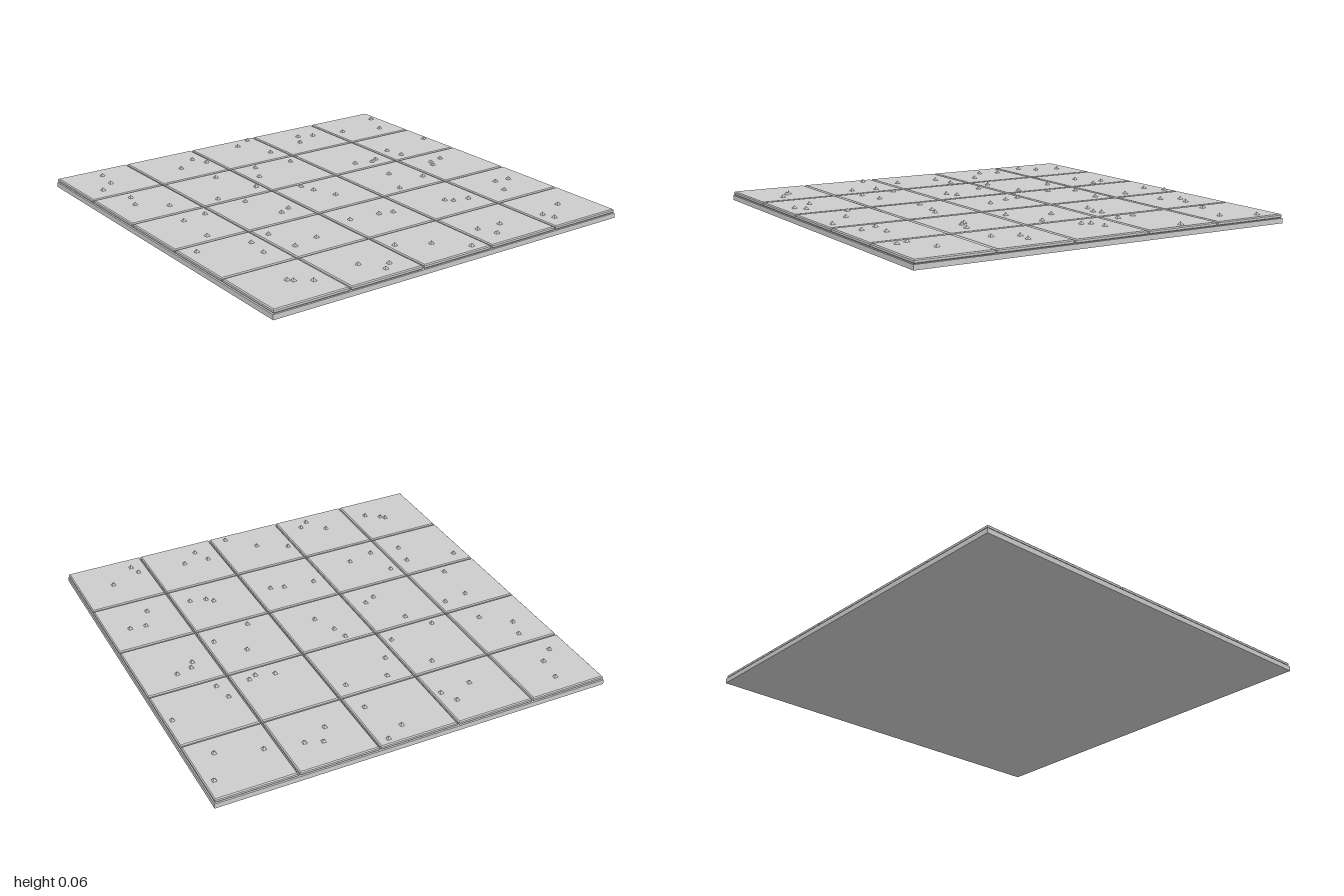
import * as THREE from 'three';

const BASE = 0.025, TILE = 0.02, BEVEL = 0.005, PITCH = 0.4, SIZE = 0.392;

// Spike positions in hundredths of a unit, one list of x, z pairs per tile row
const spikeRows = [
  [-79, -90, -81, -77, -89, -70, -28, -85, -24, -77, -40, -76, 14, -96, 4, -90, 13, -71,
    41, -85, 49, -82, 36, -76, 95, -88, 67, -78, 88, -71],
  [-83, -52, -86, -42, -73, -31, -33, -53, -24, -29, -49, -25, -8, -54, 13, -52, -14, -41,
    39, -29, 52, -28, 48, -26, 96, -41, 66, -36, 68, -26],
  [-65, -11, -78, -9, -79, 14, -40, -14, -28, 6, -34, 9, -5, -16, -3, -8, 2, 4,
    43, -5, 55, 8, 34, 15, 81, -9, 73, -7, 71, -3],
  [-93, 28, -67, 33, -69, 46, -55, 29, -39, 45, -53, 48, -13, 36, 3, 38, 10, 40,
    41, 42, 44, 45, 52, 47, 80, 36, 88, 37, 75, 48],
  [-78, 78, -76, 80, -69, 85, -43, 82, -31, 89, -36, 93, -16, 74, -1, 82, 12, 95,
    28, 81, 41, 82, 32, 90, 82, 79, 66, 85, 68, 91],
];

// Square slab with chamfered top and bottom edges, lying on y = 0
function tileGeometry() {
  const h = SIZE / 2 - BEVEL;
  const square = new THREE.Shape([
    new THREE.Vector2(-h, -h), new THREE.Vector2(h, -h),
    new THREE.Vector2(h, h), new THREE.Vector2(-h, h),
  ]);
  return new THREE.ExtrudeGeometry(square, {
    depth: TILE - 2 * BEVEL, bevelEnabled: true, bevelSegments: 1,
    bevelSize: BEVEL, bevelThickness: BEVEL,
  }).rotateX(-Math.PI / 2).translate(0, BEVEL, 0);
}

export function createModel() {
  const model = new THREE.Group();
  model.name = 'tiledFloor';
  const material = new THREE.MeshStandardMaterial({ color: 0xcccccc, flatShading: true });
  const add = (parent, name, geometry, x, y, z) => {
    const mesh = new THREE.Mesh(geometry, material);
    mesh.name = name;
    mesh.position.set(x, y, z);
    parent.add(mesh);
  };

  // Base slab
  add(model, 'baseSlab', new THREE.BoxGeometry(2, BASE, 2), 0, BASE / 2, 0);

  // Five by five grid of tiles
  const tiles = new THREE.Group();
  tiles.name = 'tiles';
  const tile = tileGeometry();
  for (let i = -2; i <= 2; i++)
    for (let j = -2; j <= 2; j++) add(tiles, 'tile', tile, i * PITCH, BASE, j * PITCH);
  model.add(tiles);

  // Small four-sided spikes scattered over the tiles
  const spikes = new THREE.Group();
  spikes.name = 'spikes';
  const height = 0.016;
  const spike = new THREE.ConeGeometry(0.0145, height, 4).rotateY(Math.PI / 4);
  for (const row of spikeRows)
    for (let k = 0; k < row.length; k += 2)
      add(spikes, 'spike', spike, row[k] / 100, BASE + TILE + height / 2, row[k + 1] / 100);
  model.add(spikes);

  return model;
}
